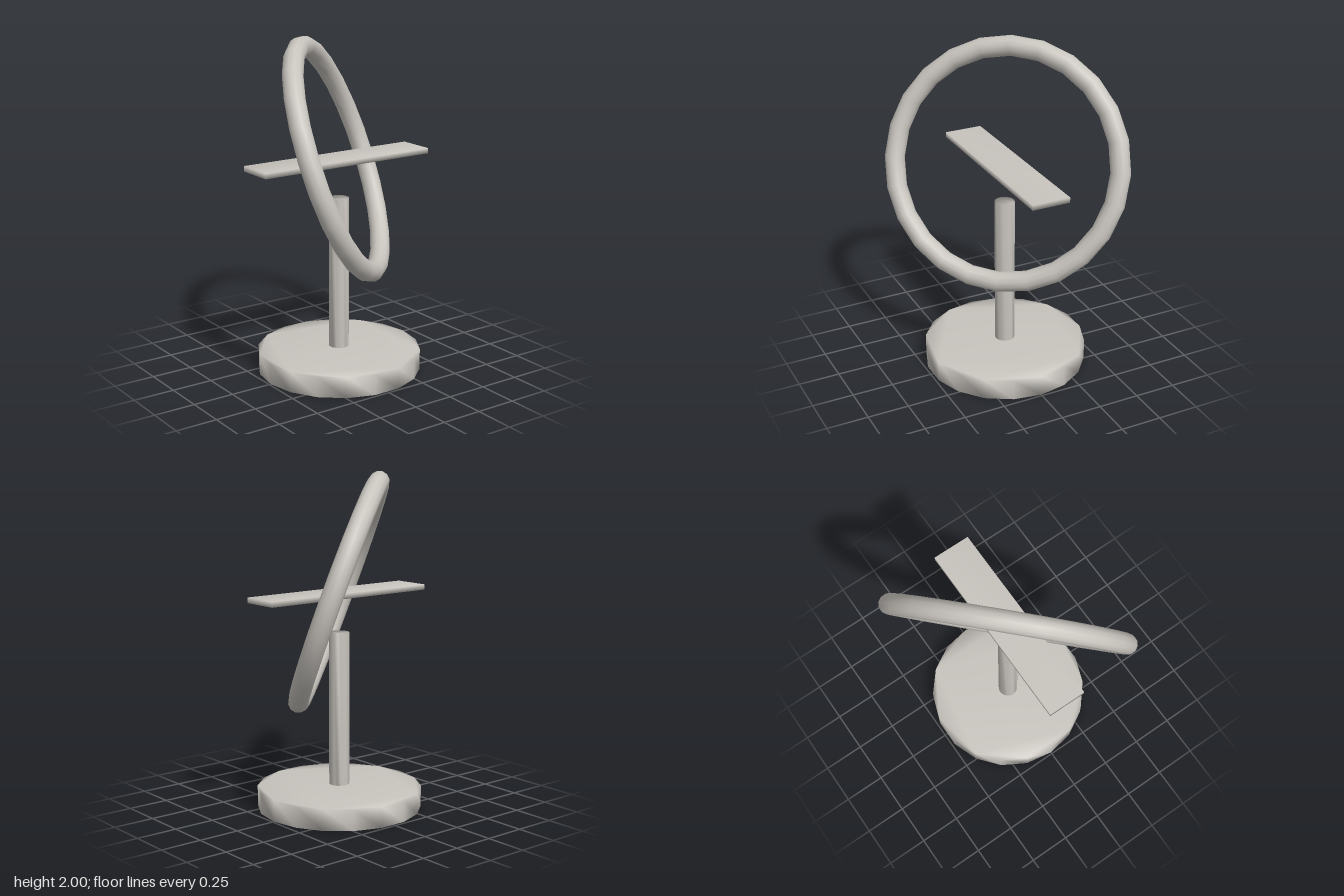
import * as THREE from 'three';
import { mergeVertices } from 'three/addons/utils/BufferGeometryUtils.js';

// Weld shared corners so the shading flows over every edge
function smooth(geometry) {
  geometry.deleteAttribute('normal');
  geometry.deleteAttribute('uv');
  const welded = mergeVertices(geometry, 1e-4);
  welded.clearGroups();
  welded.computeVertexNormals();
  return welded;
}

// Upright prism with a regular polygon outline, a corner lying on the x axis
function prism(radius, height, sides) {
  const points = [];
  for (let i = 0; i < sides; i++) {
    const a = (i / sides) * Math.PI * 2;
    points.push(new THREE.Vector2(Math.cos(a) * radius, Math.sin(a) * radius));
  }
  const geometry = new THREE.ExtrudeGeometry(new THREE.Shape(points), { depth: height, bevelEnabled: false });
  geometry.rotateX(-Math.PI / 2);
  return smooth(geometry);
}

export function createModel() {
  const group = new THREE.Group();
  const stone = new THREE.MeshStandardMaterial({ color: 0xc8c4be });
  stone.name = 'warmGrey';

  const add = (name, geometry, y) => {
    const mesh = new THREE.Mesh(geometry, stone);
    mesh.name = name;
    mesh.position.y = y;
    group.add(mesh);
    return mesh;
  };

  // Stand: round foot and a post floating just above it
  add('base', prism(0.49, 0.125, 18), 0);
  add('post', prism(0.06, 0.92, 18), 0.139);

  // Flat crossbar through the middle of the ring
  add('crossbar', smooth(new THREE.BoxGeometry(1.15, 0.032, 0.23)), 1.288);

  // Tilted ring, its axis pointing along (2, 1, 2)
  const ringGeometry = new THREE.TorusGeometry(0.686, 0.06, 12, 24);
  ringGeometry.rotateZ(THREE.MathUtils.degToRad(3.2));
  const axis = new THREE.Vector3(2, 1, 2).normalize();
  const right = new THREE.Vector3(1, 0, -1).normalize();
  const up = new THREE.Vector3().crossVectors(axis, right);
  const ring = add('ring', ringGeometry, 1.293);
  ring.quaternion.setFromRotationMatrix(new THREE.Matrix4().makeBasis(right, up, axis));

  return group;
}
